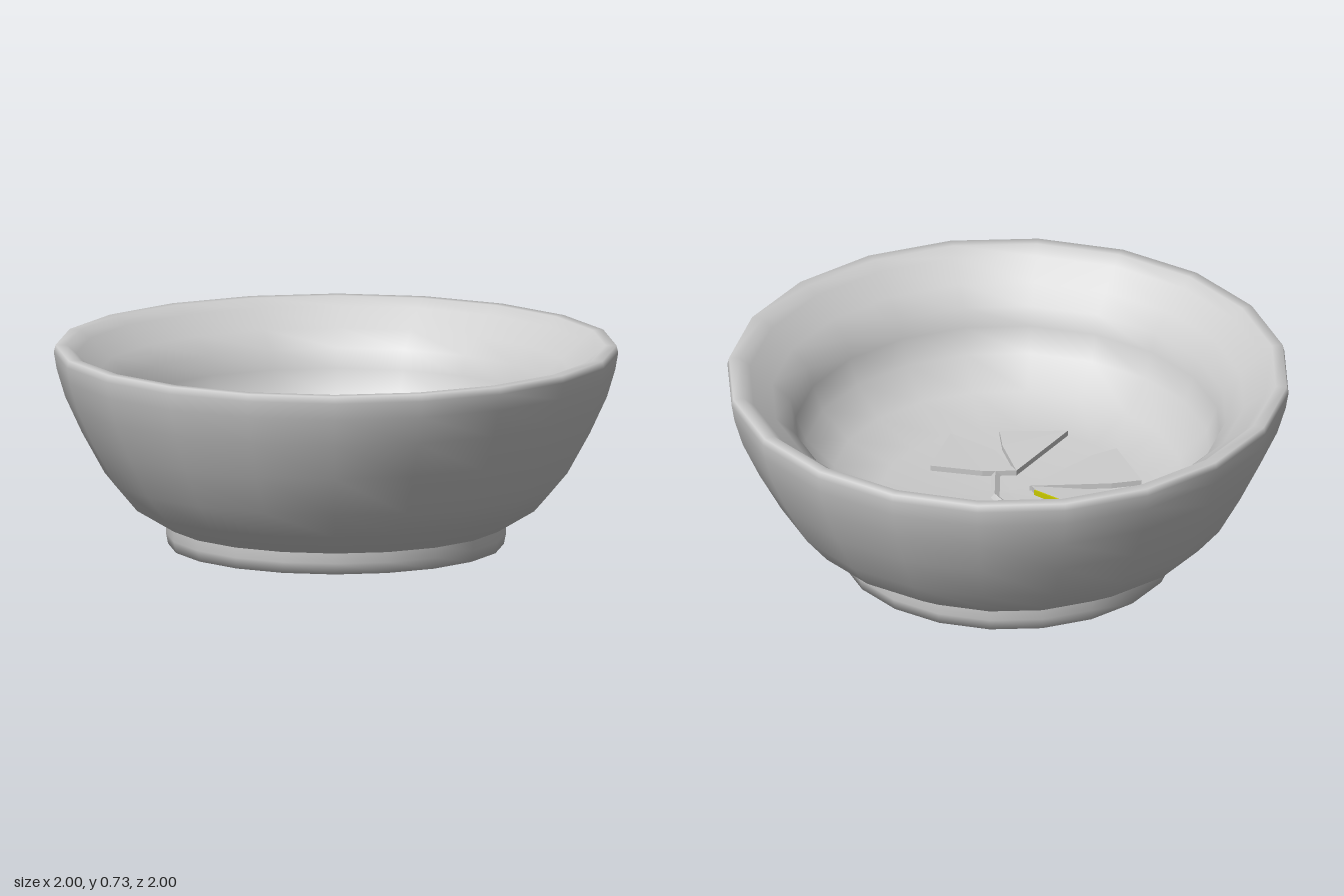
import * as THREE from 'three';

const grey = () => new THREE.MeshStandardMaterial({ color: 0xcccccc });
const HUB = [-0.07, -0.03];

// Smooth twenty-sided turned part from [radius, height] pairs
function turned(name, profile) {
  const pts = profile.map(([r, y]) => new THREE.Vector2(r, y));
  const mesh = new THREE.Mesh(new THREE.LatheGeometry(pts, 20), grey());
  mesh.name = name;
  return mesh;
}

// Thin flat-shaded leaf from an [x, z] outline, rising from y0 to y1 away from the hub
function leaf(name, outline, y0, y1, color = 0xcccccc) {
  const shape = new THREE.Shape(outline.map(([x, z]) => new THREE.Vector2(x, -z)));
  const geo = new THREE.ExtrudeGeometry(shape, { depth: 0.02, bevelEnabled: false });
  geo.rotateX(-Math.PI / 2);
  const p = geo.attributes.position;
  for (let i = 0; i < p.count; i++) {
    const d = Math.hypot(p.getX(i) - HUB[0], p.getZ(i) - HUB[1]);
    const t = Math.min(1, d / 0.4);
    p.setY(i, p.getY(i) - 0.02 + y0 + (y1 - y0) * t);
  }
  geo.computeVertexNormals();
  const mesh = new THREE.Mesh(geo, new THREE.MeshStandardMaterial({ color, flatShading: true }));
  mesh.name = name;
  return mesh;
}

export function createModel() {
  const model = new THREE.Group();
  model.name = 'bowl';

  // Foot: underside and short upright wall
  model.add(turned('foot', [[0, 0], [0.53, 0], [0.595, 0.01], [0.603, 0.05], [0.603, 0.09]]));

  // Outer wall, rolled rim and stepped interior
  model.add(turned('bowlWall', [
    [0.6, 0.085], [0.74, 0.17], [0.82, 0.265], [0.9, 0.41], [0.96, 0.54], [0.99, 0.64], [1, 0.7],
    [0.994, 0.725], [0.955, 0.725], [0.92, 0.695], [0.84, 0.63], [0.775, 0.57],
    [0.757, 0.5], [0.72, 0.41], [0.62, 0.31], [0.45, 0.25], [0, 0.24],
  ]));

  // Fan of leaf pieces around the hub
  const leaves = new THREE.Group();
  leaves.name = 'leaves';
  const outlines = [
    [[-0.42, -0.22], [-0.46, 0.03], [-0.36, 0.035], [-0.07, -0.03], [-0.32, -0.18]],
    [[-0.27, -0.37], [-0.1, -0.4], [-0.065, -0.08], [-0.075, -0.04], [-0.24, -0.28]],
    [[0.22, -0.34], [0.38, -0.16], [0.1, -0.02], [0.14, -0.2]],
    [[0.18, 0.24], [0, 0.41], [-0.08, 0.24], [-0.08, 0.08], [0.03, 0.13]],
    [[-0.37, 0.22], [-0.16, 0.34], [-0.12, 0.25], [-0.08, 0.08]],
  ];
  const tips = [0.28, 0.335, 0.275, 0.285, 0.285];
  outlines.forEach((o, i) => leaves.add(leaf('leaf' + (i + 1), o, 0.262, tips[i])));
  leaves.add(leaf('leafScrap', [[0.17, -0.01], [0.23, -0.015], [0.27, 0.16], [0.25, 0.13]], 0.285, 0.235));
  leaves.add(leaf('leafEdge', [[-0.1, -0.4], [-0.09, -0.4], [-0.06, -0.08], [-0.065, -0.08]], 0.262, 0.337, 0xcccc00));
  model.add(leaves);

  // Bent thin stalk lying across the fan
  const stalkPath = new THREE.CurvePath();
  const pts = [[-0.13, 0.305, -0.47], [0.045, 0.25, -0.33], [0.07, 0.25, -0.03], [-0.025, 0.255, 0.13]]
    .map((a) => new THREE.Vector3(...a));
  for (let i = 0; i < pts.length - 1; i++) stalkPath.add(new THREE.LineCurve3(pts[i], pts[i + 1]));
  const stalk = new THREE.Mesh(new THREE.TubeGeometry(stalkPath, 16, 0.016, 4), 
    new THREE.MeshStandardMaterial({ color: 0xcccccc, flatShading: true, side: THREE.DoubleSide }));
  stalk.name = 'stalk';
  model.add(stalk);

  return model;
}
